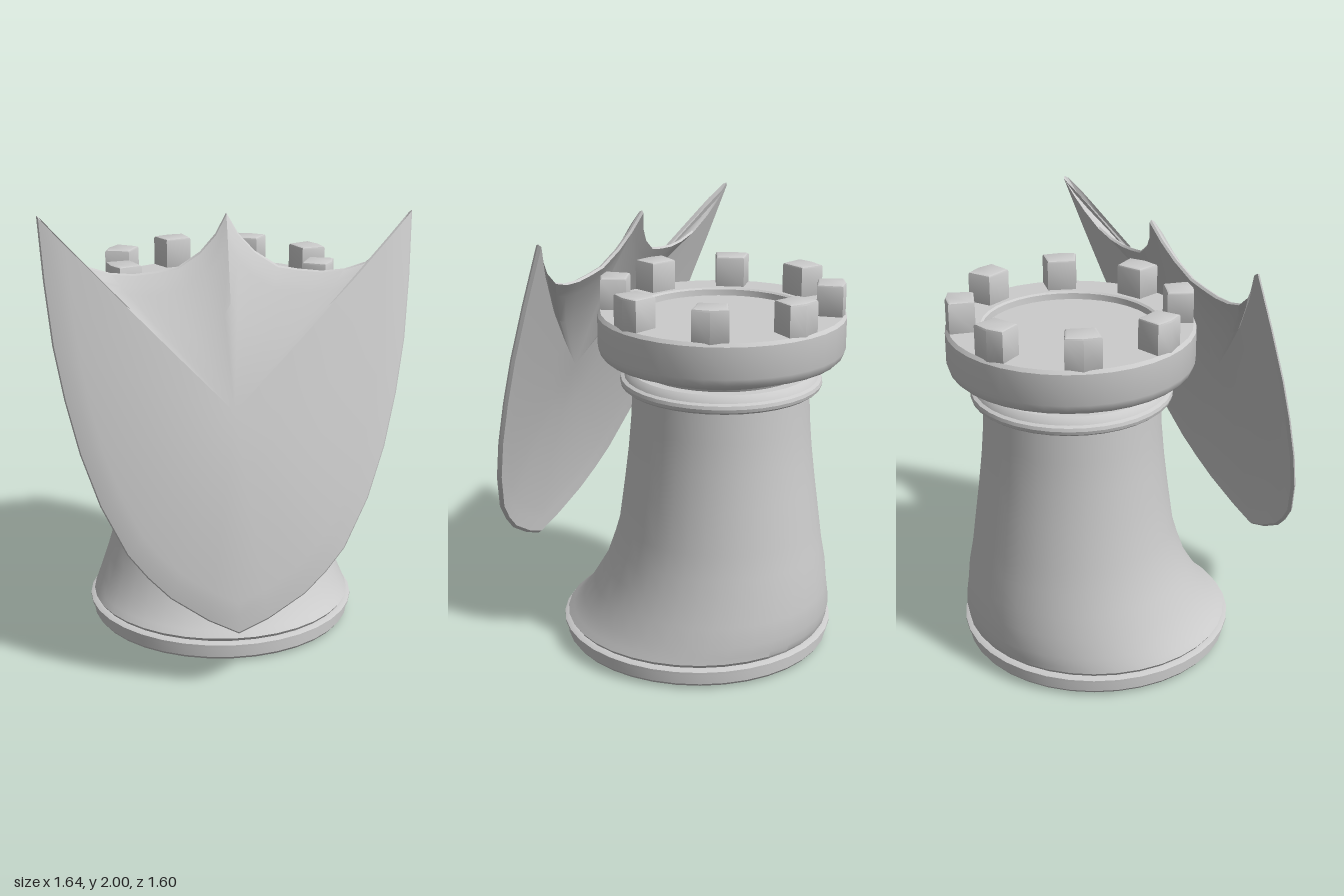
import * as THREE from 'three';
import { toCreasedNormals, mergeVertices } from 'three/addons/utils/BufferGeometryUtils.js';

const AXIS_Z = -0.247; // axis of the upper tower

// The tower leans back: the axis drifts with height near the foot
function axisAt(y) {
  const keys = [[0, -0.13], [0.115, -0.13], [0.19, -0.178], [0.38, -0.228], [0.6, AXIS_Z], [9, AXIS_Z]];
  for (let i = 1; i < keys.length; i++) {
    const [y0, z0] = keys[i - 1], [y1, z1] = keys[i];
    if (y <= y1) return THREE.MathUtils.lerp(z0, z1, (y - y0) / (y1 - y0));
  }
  return AXIS_Z;
}

function turned(profile) {
  const geo = new THREE.LatheGeometry(profile.map(([r, y]) => new THREE.Vector2(r, y)), 36);
  const p = geo.attributes.position;
  for (let i = 0; i < p.count; i++) p.setZ(i, p.getZ(i) + axisAt(p.getY(i)));
  return toCreasedNormals(geo, 0.5);
}

function merlonGeometry() {
  const s = new THREE.Shape([[-0.056, 0.43], [0.056, 0.43], [0.068, 0.526], [0, 0.537], [-0.068, 0.526]]
    .map(([x, y]) => new THREE.Vector2(x, y)));
  const geo = new THREE.ExtrudeGeometry(s, { depth: 0.14, bevelThickness: 0.01, bevelSize: 0.01, bevelSegments: 2 });
  return toCreasedNormals(geo.rotateX(-Math.PI / 2), 0.5);
}

// Dished shield: one outline scaled through rings, back centre -> rim -> front centre
function shieldGeometry() {
  const half = [[0.13, 0.345], [0.29, 0.44], [0.385, 0.525], [0.47, 0.62], [0.58, 0.82], [0.66, 1.03], [0.72, 1.25],
    [0.765, 1.47], [0.797, 1.73], [0.82, 2], [0.77, 1.925], [0.71, 1.86], [0.61, 1.79], [0.51, 1.762], [0.41, 1.755],
    [0.31, 1.765], [0.22, 1.78], [0.12, 1.842], [0.05, 1.915]];
  const outline = [[0, 0.29], ...half, [0, 2], ...half.slice().reverse().map(([x, y]) => [-x, y])];
  const rings = [[0, 0.09], [0.28, 0.078], [0.55, 0.058], [0.85, 0.012], [0.91, 0], [0.985, -0.016], [1, -0.004],
    [0.99, 0.008], [0.91, 0.03], [0.85, 0.04], [0.55, 0.086], [0.28, 0.106], [0, 0.116]]; // scale, bulge
  const cy = 1.22, n = outline.length, pos = [], index = [];
  for (const [s, h] of rings) {
    for (const [x, y] of outline) {
      const yy = cy + (y - cy) * s;
      pos.push(x * s, yy, 0.79 - (yy - 0.29) * 0.365 + h);
    }
  }
  for (let j = 0; j < rings.length - 1; j++) {
    for (let i = 0; i < n; i++) {
      const k = (i + 1) % n;
      const a = j * n + i, b = j * n + k, c = b + n, d = a + n;
      if (rings[j][0] > 0) index.push(a, b, c);
      if (rings[j + 1][0] > 0) index.push(a, c, d);
      else if (rings[j][0] === 0) index.push(a, c, d);
    }
  }
  const geo = new THREE.BufferGeometry();
  geo.setAttribute('position', new THREE.Float32BufferAttribute(pos, 3));
  geo.setIndex(index);
  return toCreasedNormals(mergeVertices(geo), 0.45);
}

export function createModel() {
  const model = new THREE.Group();
  model.name = 'rookWithShield';
  const grey = new THREE.MeshStandardMaterial({ color: 0xcccccc });
  const add = (name, geo, parent = model) => {
    const mesh = new THREE.Mesh(geo, grey);
    mesh.name = name;
    parent.add(mesh);
    return mesh;
  };

  // Foot with a thin lip
  add('base', turned([[0, 0], [0.3, 0], [0.31, 0.01], [0.61, 0.012], [0.62, 0.025], [0.62, 0.075], [0.635, 0.08],
    [0.635, 0.09], [0.62, 0.097], [0.6, 0.1], [0, 0.1]]));

  // Flared body
  add('body', turned([[0.6, 0.09], [0.617, 0.115], [0.605, 0.14], [0.583, 0.19], [0.55, 0.28], [0.517, 0.38],
    [0.488, 0.49], [0.465, 0.6], [0.438, 0.8], [0.42, 0.95], [0.407, 1.1], [0.4, 1.27]]));

  // Collar under the crown
  add('collar', turned([[0.39, 1.25], [0.44, 1.25], [0.453, 1.26], [0.457, 1.275], [0.453, 1.29], [0.437, 1.297],
    [0.427, 1.315], [0.412, 1.327], [0.37, 1.33]]));

  // Crown with a sunken floor
  add('crown', turned([[0.37, 1.32], [0.38, 1.34], [0.53, 1.395], [0.545, 1.41], [0.555, 1.44], [0.555, 1.58],
    [0.542, 1.595], [0.4, 1.595], [0.39, 1.588], [0.387, 1.56], [0, 1.56]]));

  // Eight merlons around the rim
  const battlements = new THREE.Group();
  battlements.name = 'battlements';
  battlements.position.set(0, 1.585, AXIS_Z);
  model.add(battlements);
  const block = merlonGeometry();
  for (let i = 0; i < 8; i++) {
    add('merlon', block, battlements).rotation.y = (i + 0.5) * Math.PI / 4;
  }

  // Shield leaning on the crown
  add('shield', shieldGeometry());
  return model;
}
